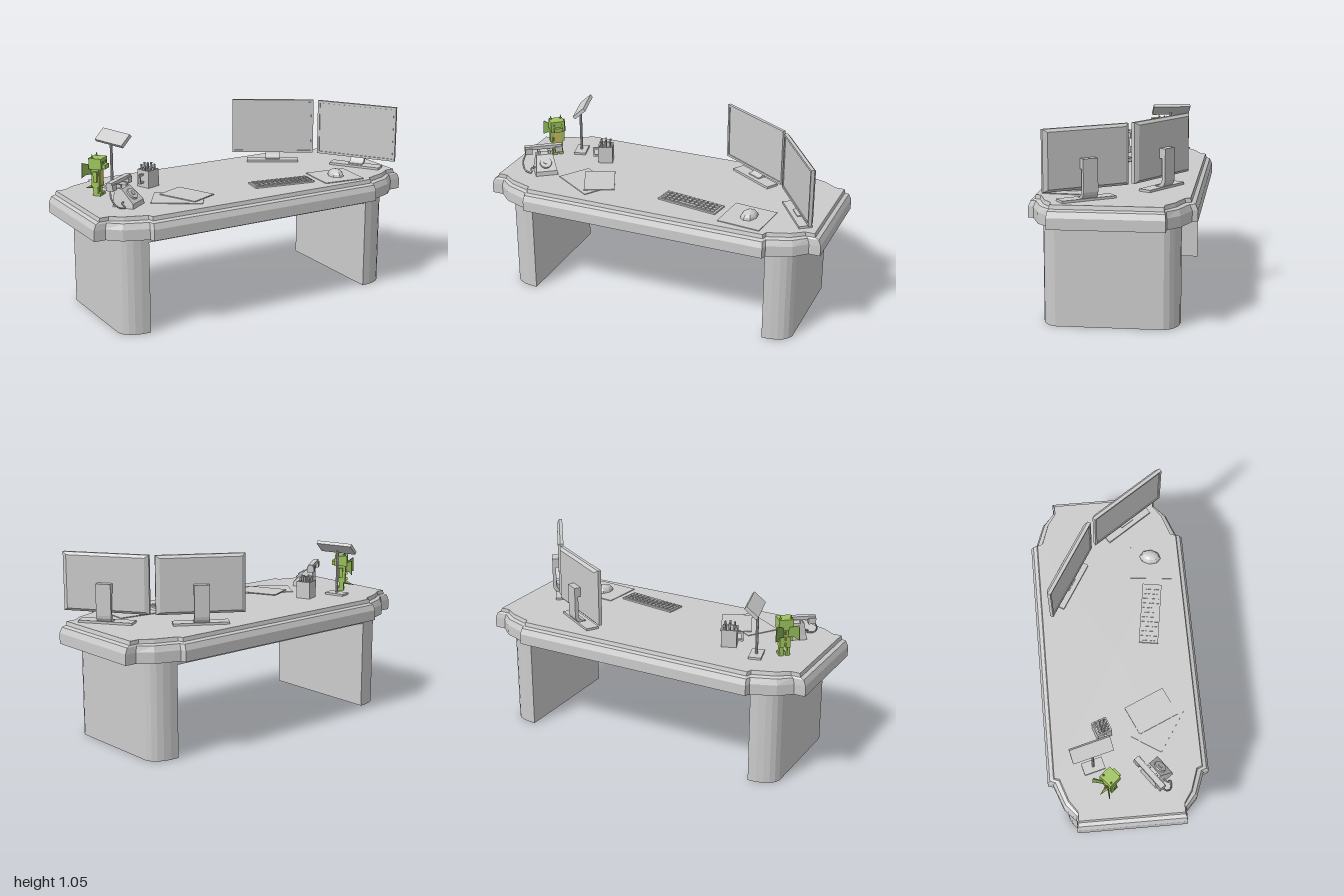
import * as THREE from 'three';

const TOP = 0.672; // desk surface height
const paint = (color) => new THREE.MeshStandardMaterial({ color, flatShading: true });
const grey = paint(0xcccccc), green = paint(0x9fc45f), darkGreen = paint(0x86ab50), yellow = paint(0xc9bf62);

function add(parent, name, geometry, x = 0, y = 0, z = 0, material = grey) {
  const mesh = new THREE.Mesh(geometry, material);
  mesh.name = name;
  mesh.position.set(x, y, z);
  parent.add(mesh);
  return mesh;
}
const box = (w, h, d) => new THREE.BoxGeometry(w, h, d);

function group(parent, name, x, y, z, degrees = 0) {
  const g = new THREE.Group();
  g.name = name;
  g.position.set(x, y, z);
  g.rotation.y = THREE.MathUtils.degToRad(degrees);
  parent.add(g);
  return g;
}

// Flat-sided skin over stacked rings of [x, y, z], closed at both ends
function loft(rings) {
  const out = [], n = rings[0].length;
  const centre = (r) => [0, 1, 2].map((k) => r.reduce((s, p) => s + p[k], 0) / n);
  const first = rings[0], last = rings[rings.length - 1];
  const c0 = centre(first), c1 = centre(last);
  for (let i = 0; i < n; i++) {
    const j = (i + 1) % n;
    for (let r = 0; r + 1 < rings.length; r++) {
      const a = rings[r], b = rings[r + 1];
      out.push(...a[i], ...b[i], ...a[j], ...a[j], ...b[i], ...b[j]);
    }
    out.push(...c0, ...first[i], ...first[j], ...c1, ...last[j], ...last[i]);
  }
  const geo = new THREE.BufferGeometry();
  geo.setAttribute('position', new THREE.Float32BufferAttribute(out, 3));
  geo.computeVertexNormals();
  return geo;
}
const rect = (w, d, y, dz = 0) =>
  [[1, -1], [1, 1], [-1, 1], [-1, -1]].map(([sx, sz]) => [sx * w / 2, y, sz * d / 2 + dz]);

// Desk outline with stepped, rounded corners, moved in by d
function outline(d, y) {
  const q = [
    [1 - d, 0.305 - 0.3 * d], [0.935 - 0.7 * d, 0.305 - 0.3 * d], [0.865 - 0.6 * d, 0.37 - 0.8 * d],
    [0.73 - 0.3 * d, 0.42 - d], [0.72 - 0.3 * d, 0.45 - d],
  ];
  const r = [...q].reverse();
  return [
    ...q, ...r.map(([x, z]) => [-x, z]), ...q.map(([x, z]) => [-x, -z]), ...r.map(([x, z]) => [x, -z]),
  ].map(([x, z]) => [x, y, z]);
}

function buildDesk(root) {
  add(root, 'deskTop', loft([
    outline(0, 0.55), outline(0, 0.61), outline(0.014, 0.642), outline(0.035, 0.65), outline(0.04, TOP),
  ]));
  add(root, 'underPanel', box(1.44, 0.04, 0.72), 0, 0.534, 0);

  // Slab legs, rounded on their outer corners
  const s = new THREE.Shape();
  s.moveTo(0.71, -0.365);
  s.quadraticCurveTo(0.84, -0.365, 0.865, -0.285);
  s.lineTo(0.865, 0.285);
  s.quadraticCurveTo(0.84, 0.365, 0.71, 0.365);
  s.closePath();
  const leg = new THREE.ExtrudeGeometry(s, { depth: 0.555, bevelEnabled: false, curveSegments: 5 });
  leg.rotateX(-Math.PI / 2);
  add(root, 'leftLeg', leg);
  add(root, 'rightLeg', leg).rotation.y = Math.PI;
}

function buildMonitor(root, name, x, z, degrees) {
  const g = group(root, name, x, 0, z, degrees);
  const w = 0.49, h = 0.326;
  // Bevelled back, recessed front
  const shell = loft([
    rect(w - 0.045, h - 0.03, -0.018), rect(w, h, -0.004), rect(w, h, 0.015),
    rect(w - 0.026, h - 0.026, 0.015), rect(w - 0.026, h - 0.026, 0.009),
  ]).rotateX(Math.PI / 2);
  add(g, 'monitorShell', shell, 0, 0.892, 0);
  add(g, 'screen', box(w - 0.03, h - 0.03, 0.003), 0, 0.892, 0.009);

  // Bent strip stand, profile in (forward, up)
  const s = new THREE.Shape();
  s.moveTo(-0.015, 0.895);
  s.lineTo(-0.055, 0.895);
  s.lineTo(-0.055, 0.72);
  s.quadraticCurveTo(-0.053, 0.675, 0.01, 0.675);
  s.lineTo(0.01, 0.69);
  s.quadraticCurveTo(-0.032, 0.69, -0.034, 0.73);
  s.lineTo(-0.034, 0.84);
  s.lineTo(-0.015, 0.84);
  s.closePath();
  const strip = new THREE.ExtrudeGeometry(s, { depth: 0.085, bevelEnabled: false, curveSegments: 5 });
  strip.translate(0, 0, -0.0425).rotateY(-Math.PI / 2);
  add(g, 'stand', strip);
  add(g, 'standFoot', box(0.31, 0.014, 0.075), 0, TOP + 0.006, -0.002);
}

function buildInputs(root) {
  const kb = group(root, 'keyboard', 0.22, TOP, 0.212, -9);
  add(kb, 'keyboardBase', box(0.365, 0.01, 0.11), 0, 0.004, 0);
  for (let r = 0; r < 4; r++)
    for (let c = 0; c < 12; c++) {
      if (r === 3 && c > 3 && c < 8) continue;
      add(kb, 'key', box(0.022, 0.006, 0.018), (c - 5.5) * 0.029, 0.011, (r - 1.5) * 0.025);
    }
  add(kb, 'spaceBar', box(0.11, 0.006, 0.018), 0, 0.011, 0.0375);

  add(root, 'mousePad', box(0.25, 0.005, 0.24), 0.565, TOP + 0.002, 0.25).rotation.y = -0.1;
  const dome = new THREE.SphereGeometry(1, 8, 4, 0, Math.PI * 2, 0, Math.PI / 2);
  const mouse = add(root, 'mouse', dome, 0.575, TOP + 0.003, 0.245);
  mouse.scale.set(0.045, 0.04, 0.063);
  mouse.rotation.y = -0.2;
}

function buildPapersAndCup(root) {
  add(root, 'lowerPaper', box(0.285, 0.005, 0.195), -0.44, TOP + 0.002, 0.19).rotation.y = -0.576;
  add(root, 'upperPaper', box(0.175, 0.005, 0.245), -0.37, TOP + 0.007, 0.16).rotation.y = 0.42;

  const g = group(root, 'penCup', -0.465, TOP, -0.125, 20);
  const h = 0.045, wall = 0.008;
  add(g, 'cupFloor', box(0.085, 0.01, 0.085), 0, 0.005, 0);
  for (const s of [-1, 1]) {
    add(g, 'cupSide', box(wall, 0.1, 0.085), s * (h - wall / 2 - 0.002), 0.05, 0);
    add(g, 'cupFace', box(0.085, 0.1, wall), 0, 0.05, s * (h - wall / 2 - 0.002));
  }
  for (const y of [0.03, 0.075]) add(g, 'cupHandleArm', box(0.035, 0.01, 0.014), -0.056, y, 0);
  add(g, 'cupHandleGrip', box(0.01, 0.055, 0.014), -0.071, 0.0525, 0);
  for (let i = 0; i < 9; i++) {
    const x = (i % 3 - 1) * 0.021, z = (Math.floor(i / 3) - 1) * 0.021;
    const pen = add(g, 'pen', box(0.009, 0.115 + 0.006 * (i * 2 % 4), 0.009), x, 0.07, z);
    pen.rotation.set(z * 5, 0, -x * 5);
  }
}

function buildLamp(root) {
  const g = group(root, 'deskLamp', -0.66, TOP, -0.19, 15);
  add(g, 'lampBase', box(0.07, 0.012, 0.12), 0, 0.006, 0);
  add(g, 'lampPole', new THREE.CylinderGeometry(0.008, 0.008, 0.28, 8), 0, 0.14, 0);
  add(g, 'lampHead', box(0.085, 0.02, 0.23), 0.015, 0.288, 0).rotation.z = 0.72;
}

function buildFigurine(root) {
  const g = group(root, 'figurine', -0.785, TOP, -0.11, 40);
  for (const s of [-1, 1]) {
    add(g, 'foot', box(0.026, 0.016, 0.045), s * 0.018, 0.008, 0.008, green);
    add(g, 'legBlock', box(0.024, 0.04, 0.028), s * 0.018, 0.035, 0, green);
    add(g, 'arm', box(0.014, 0.06, 0.022), s * 0.037, 0.11, 0.004, green);
    add(g, 'horn', new THREE.ConeGeometry(0.008, 0.028, 4), s * 0.03, 0.225, -0.015, green);
    add(g, 'muzzleEdge', box(0.01, 0.012, 0.008), s * 0.02, 0.193, 0.042, darkGreen);
    // Wing panel swept back from the shoulder
    const shape = new THREE.Shape([[0, 0.03], [0.06, 0.05], [0.065, -0.035], [0.035, -0.02], [0, -0.025]]
      .map(([x, y]) => new THREE.Vector2(s * x, y)));
    const wing = new THREE.ExtrudeGeometry(shape, { depth: 0.005, bevelEnabled: false });
    add(g, 'wing', wing, s * 0.012, 0.14, -0.03, darkGreen).rotation.y = s * 0.6;
  }
  add(g, 'torso', box(0.06, 0.105, 0.045), 0, 0.103, 0, green);
  add(g, 'belly', box(0.044, 0.09, 0.008), 0, 0.1, 0.023, yellow);
  add(g, 'head', box(0.082, 0.062, 0.075), 0, 0.184, 0.005, green);
  add(g, 'muzzle', box(0.05, 0.024, 0.022), 0, 0.168, 0.05, green);
  for (let i = 0; i < 3; i++) add(g, 'backSpine', box(0.008, 0.016, 0.014), 0, 0.07 + i * 0.034, -0.028, yellow);
  const tail = add(g, 'tail', new THREE.ConeGeometry(0.014, 0.06, 4), 0, 0.04, -0.045, green);
  tail.rotation.x = -1.9;
}

function buildPhone(root) {
  const g = group(root, 'telephone', -0.725, TOP, 0.155, 36);
  add(g, 'phoneBody', loft([
    rect(0.13, 0.125, 0), rect(0.122, 0.12, 0.025), rect(0.095, 0.045, 0.1, -0.037),
  ]));
  const dial = add(g, 'dial', new THREE.CylinderGeometry(0.034, 0.036, 0.012, 16), 0, 0.066, 0.024);
  dial.rotation.x = 0.73;
  const hub = add(g, 'dialHub', new THREE.CylinderGeometry(0.013, 0.013, 0.018, 12), 0, 0.067, 0.025);
  hub.rotation.x = 0.73;
  for (const s of [-1, 1]) {
    add(g, 'cradle', box(0.014, 0.022, 0.04), s * 0.03, 0.108, -0.045);
    add(g, 'handsetEnd', box(0.042, 0.034, 0.042), s * 0.088, 0.115, -0.055);
  }
  add(g, 'handsetBar', box(0.218, 0.02, 0.03), 0, 0.134, -0.055);
  const cord = new THREE.CatmullRomCurve3([
    [-0.1, 0.105, -0.055], [-0.125, 0.06, -0.035], [-0.12, 0.02, 0.0], [-0.085, 0.01, 0.025],
    [-0.085, 0.03, 0.005], [-0.055, 0.03, 0],
  ].map((p) => new THREE.Vector3(...p)));
  add(g, 'cord', new THREE.TubeGeometry(cord, 24, 0.005, 6));
}

export function createModel() {
  const root = new THREE.Group();
  root.name = 'officeDesk';
  buildDesk(root);
  buildMonitor(root, 'backMonitor', 0.44, -0.233, -31.5);
  buildMonitor(root, 'sideMonitor', 0.807, 0.125, -55.5);
  buildInputs(root);
  buildPapersAndCup(root);
  buildLamp(root);
  buildFigurine(root);
  buildPhone(root);
  return root;
}
